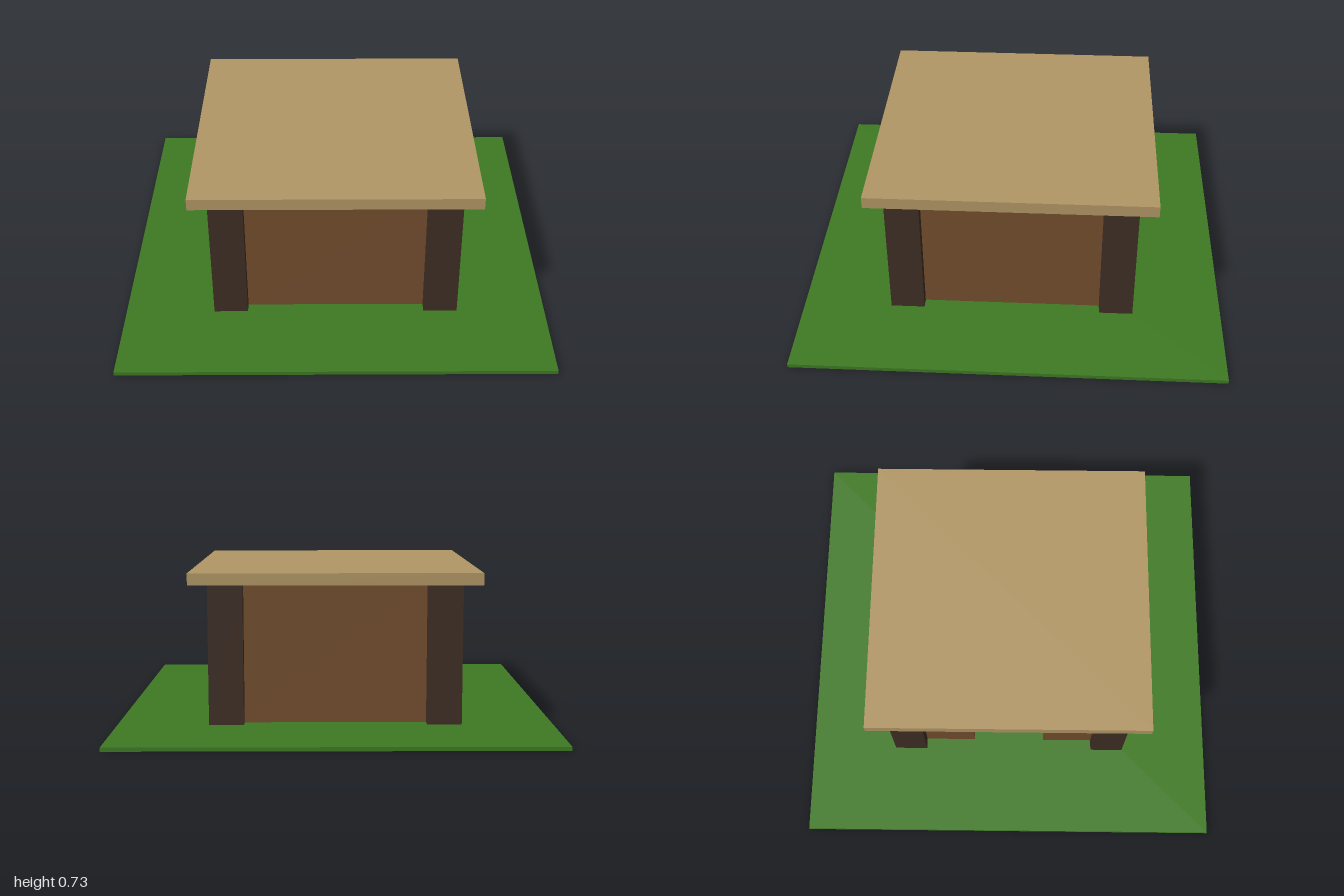
import * as THREE from 'three';

const paint = (color) => new THREE.MeshStandardMaterial({ color });
const grass = paint(0x3e7a23);
const timber = paint(0x3e2e24);
const plank = paint(0x744e2e);
const thatch = paint(0xb29765);
const dark = paint(0x0a0a0a);

// Box given by its lower and upper corners
function block(name, material, [x0, y0, z0], [x1, y1, z1]) {
  const mesh = new THREE.Mesh(new THREE.BoxGeometry(x1 - x0, y1 - y0, z1 - z0), material);
  mesh.position.set((x0 + x1) / 2, (y0 + y1) / 2, (z0 + z1) / 2);
  mesh.name = name;
  return mesh;
}

export function createModel() {
  const hut = new THREE.Group();
  hut.name = 'hut';
  const eaves = 0.67, inner = 0.47, outer = 0.53, span = 0.42;

  // Ground slab; walls and posts run through it and show underneath
  hut.add(block('ground', grass, [-1, 0.002, -1], [1, 0.02, 1]));

  // Corner posts
  for (const x of [-0.5, 0.5]) {
    for (const z of [-0.5, 0.5]) {
      hut.add(block('cornerPost', timber, [x - 0.08, 0, z - 0.08], [x + 0.08, eaves, z + 0.08]));
    }
  }

  // Three closed walls
  hut.add(block('frontWall', plank, [-span, 0, inner], [span, eaves, outer]));
  hut.add(block('backWall', plank, [-span, 0, -outer], [span, eaves, -inner]));
  hut.add(block('leftWall', plank, [inner, 0, -span], [outer, eaves, span]));

  // Wall with the doorway
  const doorHalf = 0.175, doorTop = 0.485;
  const outline = new THREE.Shape([
    [-span, 0], [-doorHalf, 0], [-doorHalf, doorTop], [doorHalf, doorTop],
    [doorHalf, 0], [span, 0], [span, eaves], [-span, eaves],
  ].map(([x, y]) => new THREE.Vector2(x, y)));
  const doorWall = new THREE.Mesh(
    new THREE.ExtrudeGeometry(outline, { depth: outer - inner, bevelEnabled: false }), plank);
  doorWall.rotation.y = -Math.PI / 2;
  doorWall.position.x = -inner;
  doorWall.name = 'doorWall';
  hut.add(doorWall);

  // Dark door set back in the opening
  hut.add(block('door', dark, [-0.485, 0.02, -doorHalf], [-0.455, doorTop, doorHalf]));

  // Flat overhanging roof
  hut.add(block('roof', thatch, [-0.66, eaves, -0.66], [0.66, 0.725, 0.66]));
  return hut;
}
